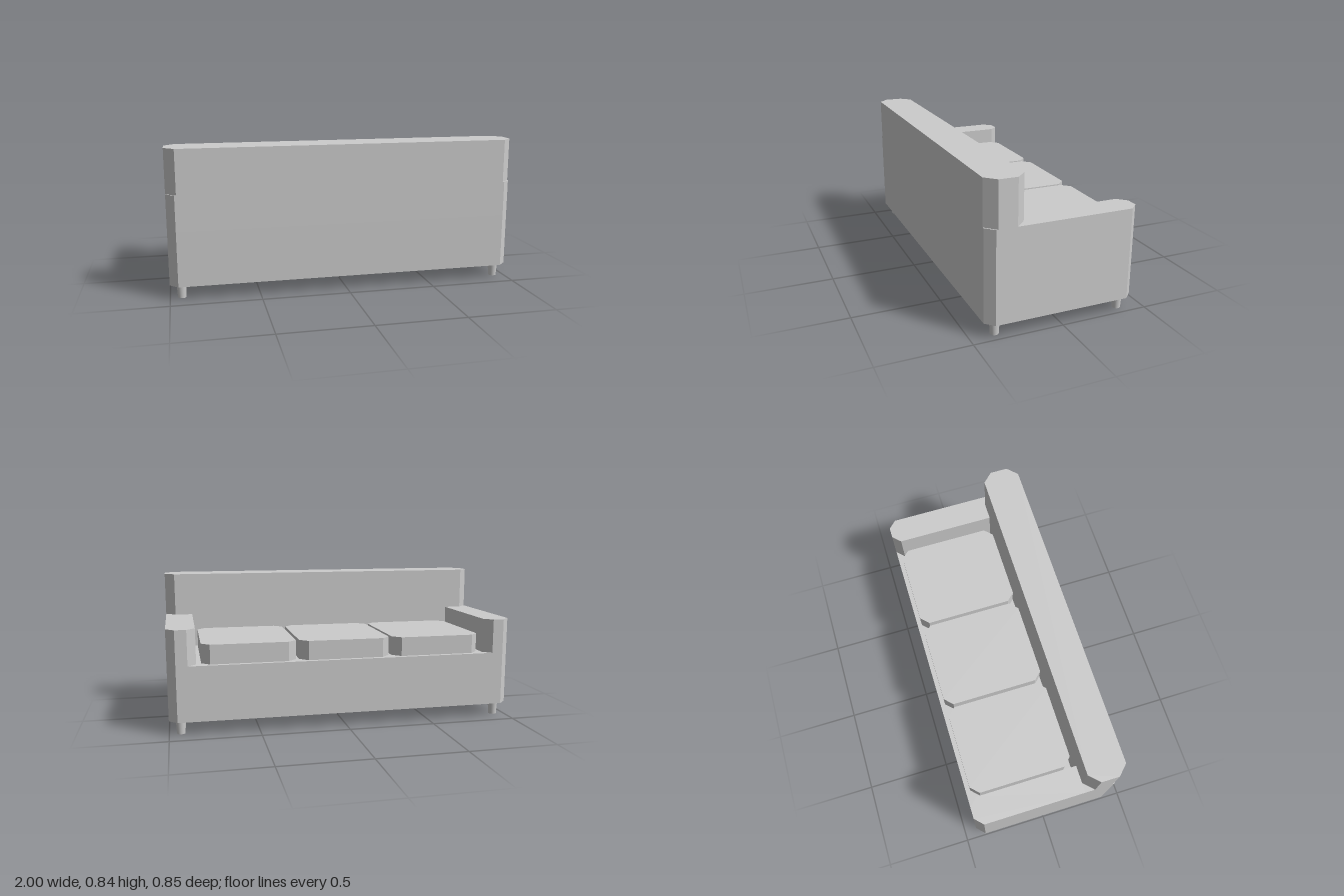
import * as THREE from 'three';

// Upright block with a chamfer size for each corner: [x0z0, x1z0, x1z1, x0z1]
function block(x0, x1, z0, z1, y0, y1, [a, b, c, d]) {
  const pts = [];
  const add = (x, z) => pts.push(new THREE.Vector2(x, -z));
  const corner = (size, first, second) => {
    add(...first);
    if (size > 0) add(...second);
  };
  corner(a, [x0, z0 + a], [x0 + a, z0]);
  corner(b, [x1 - b, z0], [x1, z0 + b]);
  corner(c, [x1, z1 - c], [x1 - c, z1]);
  corner(d, [x0 + d, z1], [x0, z1 - d]);
  const geo = new THREE.ExtrudeGeometry(new THREE.Shape(pts), { depth: y1 - y0, bevelEnabled: false });
  geo.rotateX(-Math.PI / 2);
  geo.translate(0, y0, 0);
  return geo;
}

export function createModel() {
  const sofa = new THREE.Group();
  sofa.name = 'sofa';
  const grey = new THREE.MeshStandardMaterial({ color: 0xcccccc });
  grey.name = 'grey';

  const add = (name, geo) => {
    const mesh = new THREE.Mesh(geo, grey);
    mesh.name = name;
    sofa.add(mesh);
    return mesh;
  };

  const D = 0.427, DECK = 0.39, ARM = 0.59, REST = 0.21, C = 0.047;

  // Base with chamfered upright edges
  add('base', block(-1, 1, -D, D, 0.078, DECK, [C, C, C, C]));

  // Backrest: lower part flush with the base, upper part chamfered all round
  add('lowerBackrest', block(-1, 1, REST, D, DECK, ARM, [0, 0, C, C]));
  add('upperBackrest', block(-1, 1, REST, D, ARM, 0.84, [0.057, 0.057, 0.057, 0.057]));

  // Arms, chamfered at their free ends
  add('leftArm', block(0.842, 1, -D, REST, DECK, ARM, [C, C, 0, 0]));
  add('rightArm', block(-1, -0.842, -D, REST, DECK, ARM, [C, C, 0, 0]));

  // Three seat cushions
  for (const i of [-1, 0, 1]) {
    const x = i * 0.549;
    add('seatCushion', block(x - 0.265, x + 0.265, -0.4, 0.208, DECK, 0.5, [C, C, C, C]));
  }

  // Tapered legs
  const legGeo = new THREE.CylinderGeometry(0.028, 0.023, 0.08, 24);
  for (const x of [-0.935, 0.935]) {
    for (const z of [-0.361, 0.361]) {
      add('leg', legGeo).position.set(x, 0.04, z);
    }
  }
  return sofa;
}
